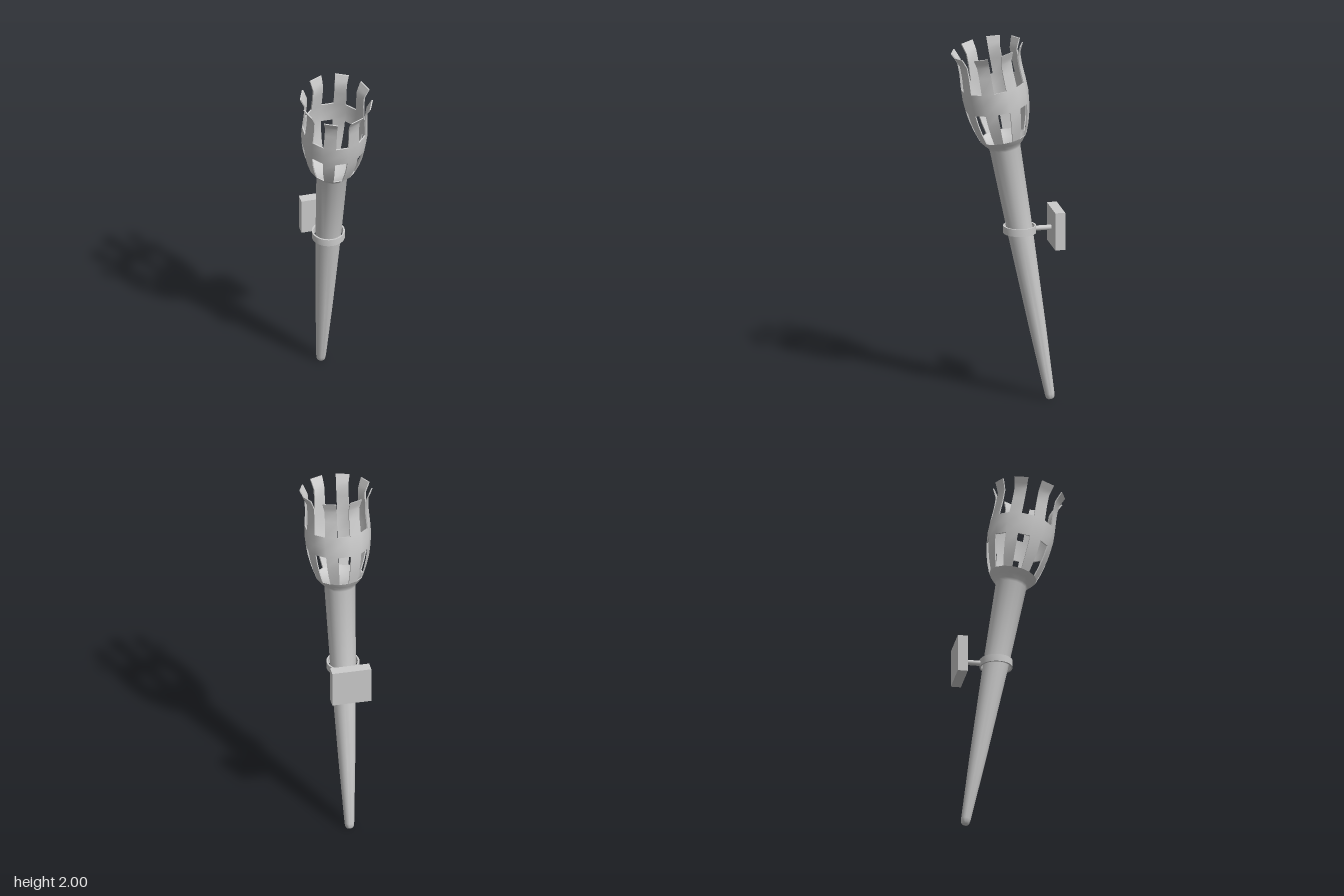
import * as THREE from 'three';
import { toCreasedNormals } from 'three/addons/utils/BufferGeometryUtils.js';

const SIDES = 16;
const STEP = (Math.PI * 2) / SIDES;
const material = new THREE.MeshStandardMaterial({ color: 0xcccccc });

function part(name, geometry, x = 0, y = 0, z = 0) {
  const mesh = new THREE.Mesh(geometry, material);
  mesh.name = name;
  mesh.position.set(x, y, z);
  return mesh;
}

function lathe(points, sides = SIDES) {
  const profile = points.map(([r, y]) => new THREE.Vector2(r, y));
  return new THREE.LatheGeometry(profile, sides, -STEP / 2);
}

// A thin shell of revolution made of cells; cells may be left open.
// Side walls are added only where a cell borders an opening.
function latticeShell(profile, thickness, filled) {
  const positions = [];
  const point = (row, col, inner) => {
    const [r, y] = profile[row];
    const a = (col - 0.5) * STEP;
    const radius = r - (inner ? thickness : 0);
    return [radius * Math.sin(a), y, radius * Math.cos(a)];
  };
  const quad = (a, b, c, d) => positions.push(...a, ...b, ...c, ...a, ...c, ...d);
  const rows = profile.length - 1;
  const solid = (row, col) =>
    row >= 0 && row < rows && filled(row, (col + SIDES) % SIDES);

  for (let i = 0; i < rows; i++) {
    for (let j = 0; j < SIDES; j++) {
      if (!solid(i, j)) continue;
      const [a, b, c, d] = [[i, j], [i, j + 1], [i + 1, j + 1], [i + 1, j]].map(([r, k]) => point(r, k, false));
      const [e, f, g, h] = [[i, j], [i, j + 1], [i + 1, j + 1], [i + 1, j]].map(([r, k]) => point(r, k, true));
      quad(a, b, c, d);
      quad(f, e, h, g);
      if (!solid(i - 1, j)) quad(e, f, b, a);
      if (!solid(i + 1, j)) quad(d, c, g, h);
      if (!solid(i, j - 1)) quad(e, a, d, h);
      if (!solid(i, j + 1)) quad(b, f, g, c);
    }
  }
  const geometry = new THREE.BufferGeometry();
  geometry.setAttribute('position', new THREE.Float32BufferAttribute(positions, 3));
  return toCreasedNormals(geometry, 0.7);
}

export function createModel() {
  const model = new THREE.Group();
  model.name = 'wallTorch';

  // Leaning torch, pivoting at the foot of its handle
  const torch = new THREE.Group();
  torch.name = 'torch';
  torch.position.set(0, 0.004, -0.238);
  torch.rotation.x = 0.174;
  model.add(torch);

  // Tapered handle widening into the cup, closed by a shallow bowl
  const handle = lathe([
    [0, 0], [0.017, 0], [0.023, 0.008], [0.026, 0.03], [0.045, 0.4], [0.068, 0.95],
    [0.083, 1.43], [0.089, 1.445], [0.108, 1.465], [0.128, 1.492],
    [0.121, 1.492], [0.1, 1.474], [0.06, 1.462], [0, 1.457],
  ]);
  torch.add(part('handle', toCreasedNormals(handle, 0.7)));

  // Basket: ribs with windows, a solid band, then flared prongs
  const basketProfile = [
    [0.128, 1.492], [0.148, 1.55], [0.163, 1.61], [0.172, 1.67],
    [0.177, 1.73], [0.175, 1.79],
    [0.169, 1.88], [0.17, 1.94], [0.181, 1.965], [0.195, 1.995],
  ];
  const basket = latticeShell(basketProfile, 0.007, (row, col) =>
    row === 3 || row === 4 || col % 2 === 1);
  torch.add(part('basket', basket));

  // Wall bracket: level ring, rod and square plate
  const bracket = new THREE.Group();
  bracket.name = 'wallBracket';
  model.add(bracket);

  const ring = lathe([
    [0.079, -0.02], [0.088, -0.02], [0.088, 0.02], [0.079, 0.02], [0.079, -0.02],
  ], 32);
  bracket.add(part('ring', toCreasedNormals(ring, 0.7), 0, 0.955, -0.07));

  const rod = new THREE.CylinderGeometry(0.014, 0.014, 0.09, 12);
  rod.rotateX(Math.PI / 2);
  bracket.add(part('rod', rod, 0, 0.953, -0.198));

  bracket.add(part('wallPlate', new THREE.BoxGeometry(0.212, 0.206, 0.054), 0, 0.957, -0.268));

  return model;
}
